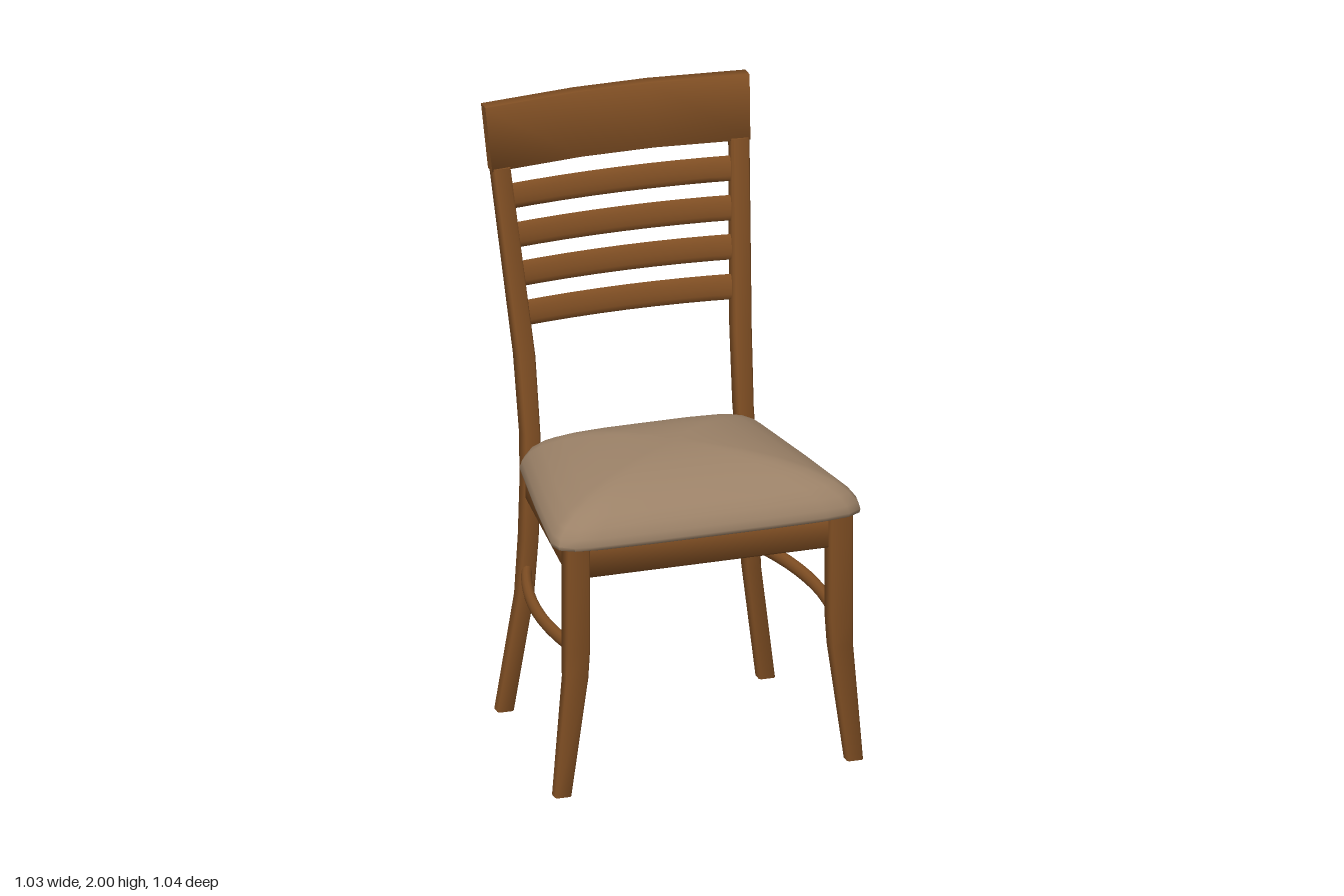
import * as THREE from 'three';
import { toCreasedNormals } from 'three/addons/utils/BufferGeometryUtils.js';

// Skin a list of closed rings (each an array of [x, y, z]) and cap both ends.
// Rings run counter-clockwise when looking back along the sweep direction.
function loft(rings, crease = 0.9) {
  const n = rings[0].length, pos = [], index = [];
  rings.forEach(r => r.forEach(p => pos.push(...p)));
  for (let i = 0; i < rings.length - 1; i++) {
    for (let j = 0; j < n; j++) {
      const k = (j + 1) % n;
      const a = i * n + j, b = i * n + k, c = a + n, d = b + n;
      index.push(a, b, d, a, d, c);
    }
  }
  [0, rings.length - 1].forEach((i, end) => {
    const centre = pos.length / 3;
    pos.push(...[0, 1, 2].map(m => rings[i].reduce((s, p) => s + p[m], 0) / n));
    for (let j = 0; j < n; j++) {
      const a = i * n + j, b = i * n + (j + 1) % n;
      if (end) index.push(centre, a, b);
      else index.push(centre, b, a);
    }
  });
  const g = new THREE.BufferGeometry();
  g.setAttribute('position', new THREE.Float32BufferAttribute(pos, 3));
  g.setIndex(index);
  return toCreasedNormals(g, crease);
}

// Rectangle with small bevelled corners
function bevelled(hu, hv, c = 0.006) {
  return [[hu, -hv + c], [hu, hv - c], [hu - c, hv], [-hu + c, hv],
    [-hu, hv - c], [-hu, -hv + c], [-hu + c, -hv], [hu - c, -hv]];
}

function ellipse(hu, hv, n = 12) {
  return Array.from({ length: n }, (_, i) => {
    const a = i / n * Math.PI * 2;
    return [hu * Math.cos(a), hv * Math.sin(a)];
  });
}

// Upright post from rows of [y, x, z, halfX, halfZ]
function post(rows, side) {
  return loft(rows.map(([y, x, z, hx, hz]) =>
    bevelled(hz, hx).map(([u, v]) => [side * x + v, y, z + u])));
}

// Crosswise bar; can bow backwards, lean with the posts and flare at the top
function crossBar(section, y, z, half, { bow = 0, lean = 0, flare = 0, steps = [-1, 1] } = {}) {
  return loft(steps.map(t => section.map(([u, v]) =>
    [t * (half + flare * u), y + u, z - bow * (1 - t * t) - lean * u + v])));
}

// Bar running front to back, from rows of [z, x]
function sideBar(section, y, rows, side) {
  return loft(rows.map(([z, x]) => section.map(([u, v]) => [side * x + u, y + v, z])));
}

export function createModel() {
  const model = new THREE.Group();
  model.name = 'diningChair';
  const wood = new THREE.MeshStandardMaterial({ color: 0x7f4e23 });
  wood.name = 'brown wood';
  const fabric = new THREE.MeshStandardMaterial({ color: 0x9c8268 });
  fabric.name = 'beige fabric';
  const add = (name, geometry, material = wood) => {
    const mesh = new THREE.Mesh(geometry, material);
    mesh.name = name;
    model.add(mesh);
  };

  const frontLeg = [
    [0, 0.488, 0.462, 0.027, 0.022],
    [0.4, 0.443, 0.461, 0.037, 0.028],
    [0.5, 0.44, 0.46, 0.04, 0.03],
    [0.85, 0.44, 0.46, 0.04, 0.03],
  ];
  const backPost = [
    [0, 0.437, -0.272, 0.027, 0.023],
    [0.4, 0.38, -0.242, 0.026, 0.028],
    [0.6, 0.368, -0.236, 0.027, 0.03],
    [0.8, 0.362, -0.236, 0.027, 0.03],
    [0.95, 0.357, -0.255, 0.028, 0.03],
    [1.2, 0.362, -0.295, 0.03, 0.029],
    [1.8, 0.4, -0.426, 0.03, 0.023],
  ];
  const apron = bevelled(0.053, 0.018);

  for (const side of [1, -1]) {
    const label = side > 0 ? 'left' : 'right';
    add(label + 'FrontLeg', post(frontLeg, side));
    add(label + 'BackPost', post(backPost, side));
    add(label + 'SideApron',
      sideBar(bevelled(0.018, 0.053), 0.793, [[-0.23, 0.366], [0.45, 0.446]], side));

    // Stretcher bowing outwards between the legs
    const rows = [];
    for (let i = 0; i <= 10; i++) {
      const t = i / 10;
      rows.push([-0.23 + 0.67 * t, 0.375 + 0.06 * t + 0.19 * t * (1 - t)]);
    }
    add(label + 'Stretcher', sideBar(ellipse(0.018, 0.023), 0.488, rows, side));
  }

  // Front and back aprons
  add('frontApron', crossBar(apron, 0.793, 0.46, 0.41));
  add('backApron', crossBar(apron, 0.793, -0.235, 0.35));

  // Backrest
  const steps = Array.from({ length: 9 }, (_, i) => i / 4 - 1);
  for (const y of [1.33, 1.455, 1.578, 1.702]) {
    const k = (y - 1.2) / 0.6;
    add('backSlat', crossBar(ellipse(0.04, 0.014), y, -0.295 - 0.131 * k,
      0.362 + 0.038 * k, { bow: 0.026, lean: 0.22, steps }));
  }
  add('topRail', crossBar(bevelled(0.104, 0.022, 0.002), 1.896, -0.447, 0.437,
    { bow: 0.036, lean: 0.19, flare: 0.05, steps: [-1, -0.28, 0.28, 1] }));

  // Domed seat cushion: one tapered outline, shrunk towards the crown
  const half = [[0.2, 0.522], [0.38, 0.518], [0.46, 0.507], [0.505, 0.482], [0.515, 0.435],
    [0.468, 0.13], [0.412, -0.19], [0.385, -0.235], [0.34, -0.252], [0.2, -0.264]];
  const outline = [[0, 0.522], ...half, [0, -0.265],
    ...half.map(([x, z]) => [-x, z]).reverse()];
  const profile = [[0.97, 0.845], [0.995, 0.85], [1, 0.862], [0.985, 0.885], [0.94, 0.915],
    [0.86, 0.945], [0.72, 0.976], [0.55, 1.001], [0.36, 1.019], [0.16, 1.028]];
  add('seatCushion', loft(profile.map(([s, y]) =>
    outline.map(([x, z]) => [x * s, y, 0.13 + (z - 0.13) * s])), 1.0), fabric);

  return model;
}
